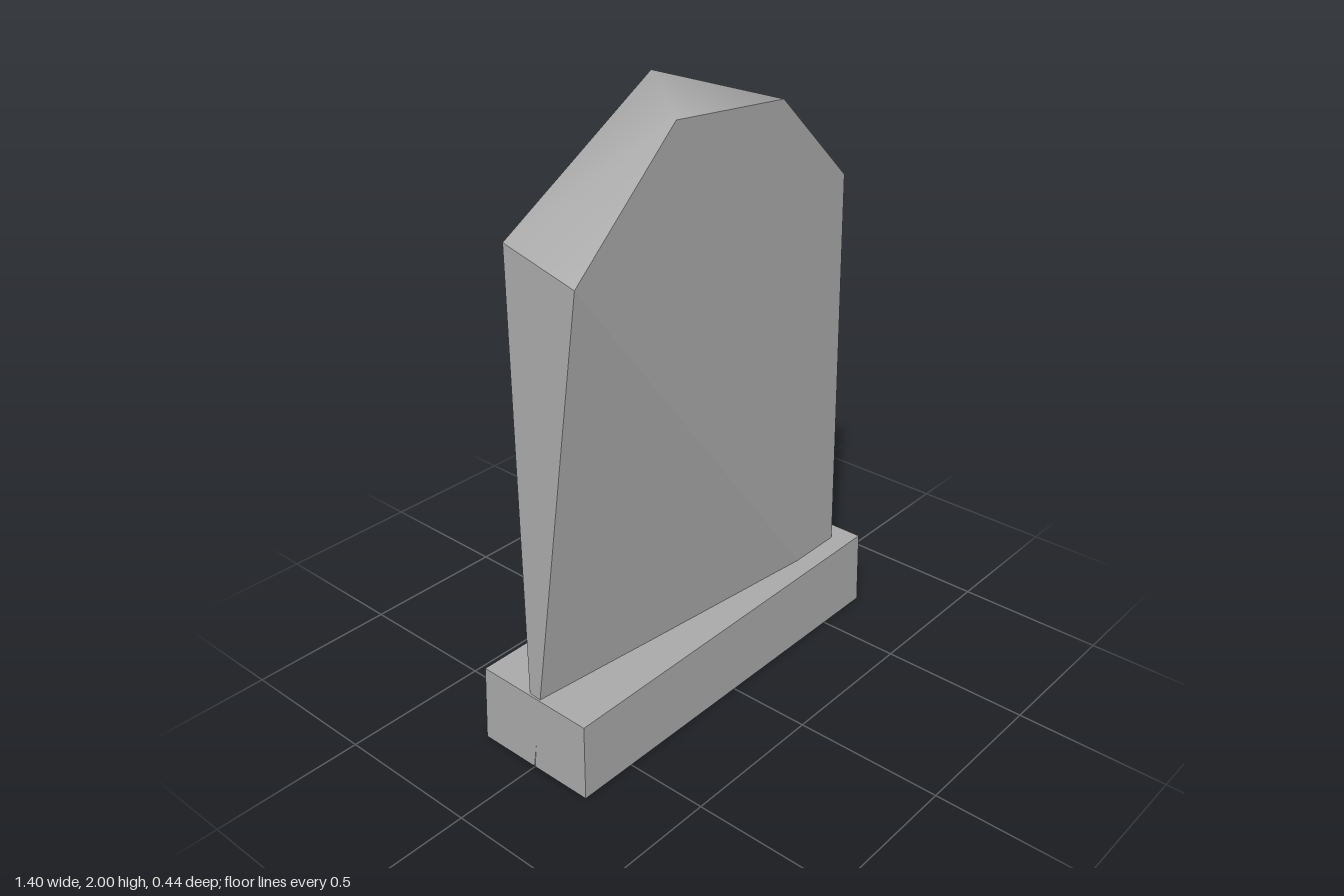
import * as THREE from 'three';

const stone = new THREE.MeshStandardMaterial({ color: 0xaaaaaa, side: THREE.DoubleSide });
stone.name = 'grey stone';

// Fan-triangulate corner loops; smooth shares the corners' normals
function facetMesh(name, corners, loops, smooth = false) {
  const index = [];
  for (const loop of loops) {
    for (let i = 1; i < loop.length - 1; i++) index.push(loop[0], loop[i], loop[i + 1]);
  }
  let geometry = new THREE.BufferGeometry();
  geometry.setAttribute('position', new THREE.Float32BufferAttribute(corners.flat(), 3));
  geometry.setIndex(index);
  if (!smooth) geometry = geometry.toNonIndexed();
  geometry.computeVertexNormals();
  const mesh = new THREE.Mesh(geometry, stone);
  mesh.name = name;
  return mesh;
}

export function createModel() {
  const group = new THREE.Group();
  group.name = 'gravestone';

  // Plinth: four walls and a top, hollow underneath
  const plinth = [
    [-0.7, 0, 0.218], [0.7, 0, 0.218], [0.7, 0, -0.218], [-0.7, 0, -0.218],
    [-0.692, 0.257, 0.213], [0.695, 0.265, 0.213], [0.695, 0.265, -0.213], [-0.692, 0.262, -0.213],
  ];
  const walls = [0, 1, 2, 3].map((i) => [i, (i + 1) % 4, ((i + 1) % 4) + 4, i + 4]);
  group.add(facetMesh('plinth', plinth, [...walls, [4, 5, 6, 7]]));

  // Slab corners: front arch 0-3, back arch 4-6, right foot 7-8, left foot narrowing to a point 9
  const d = 0.145;
  const slab = [
    [-0.6, 1.59, d], [-0.2, 1.955, d], [0.27, 1.915, d], [0.592, 1.61, d],
    [-0.58, 1.645, -d], [0.02, 2, -d], [0.59, 1.63, -d],
    [0.632, 0, d], [0.632, 0, -d], [-0.703, 0, 0],
  ];
  group.add(facetMesh('slab', slab, [
    [0, 9, 7, 3, 2, 1], // front
    [4, 5, 6, 8, 9], // back
    [7, 8, 6, 3], // left-hand edge
    [0, 4, 9], // right-hand edge
    [9, 8, 7], // underside
  ]));

  // Worn, softly shaded crown over the slab
  group.add(facetMesh('slabCrown', slab.slice(0, 7), [
    [0, 1, 4], [4, 1, 5], [1, 2, 5], [2, 6, 5], [2, 3, 6],
  ], true));

  return group;
}
